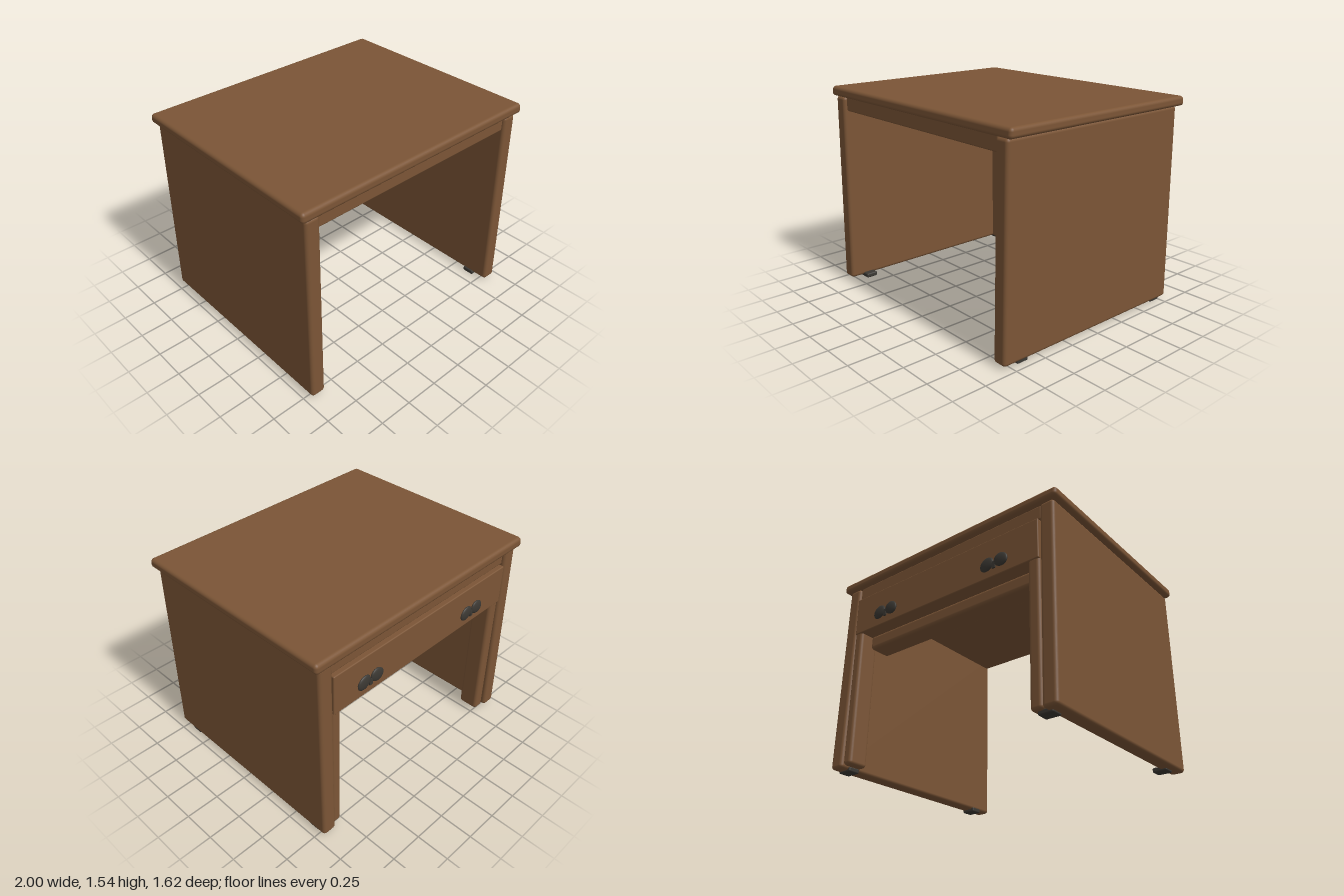
import * as THREE from 'three';
import { RoundedBoxGeometry } from 'three/addons/geometries/RoundedBoxGeometry.js';

const wood = new THREE.MeshStandardMaterial({ color: 0x7b5536 });
wood.name = 'brown wood';
const metal = new THREE.MeshStandardMaterial({ color: 0x3b3833 });
metal.name = 'dark metal';

// rounded block given by its min and max on each axis
function block(name, [x0, x1], [y0, y1], [z0, z1], radius, material = wood) {
  const geo = new RoundedBoxGeometry(x1 - x0, y1 - y0, z1 - z0, 3, radius);
  const mesh = new THREE.Mesh(geo, material);
  mesh.position.set((x0 + x1) / 2, (y0 + y1) / 2, (z0 + z1) / 2);
  mesh.name = name;
  return mesh;
}

// scale a block's depth linearly from bottom to top
function taperDepth(mesh, bottom, top) {
  const p = mesh.geometry.attributes.position;
  mesh.geometry.computeBoundingBox();
  const { min, max } = mesh.geometry.boundingBox;
  for (let i = 0; i < p.count; i++) {
    const t = (p.getY(i) - min.y) / (max.y - min.y);
    p.setZ(i, p.getZ(i) * (bottom + (top - bottom) * t));
  }
  return mesh;
}

// butterfly pull: two flattened drooping wings on a small stem
function drawerPull(x) {
  const pull = new THREE.Group();
  pull.name = 'drawerPull';
  for (const s of [-1, 1]) {
    const wing = new THREE.Mesh(new THREE.SphereGeometry(1, 20, 12), metal);
    wing.name = 'pullWing';
    wing.scale.set(0.058, 0.05, 0.016);
    wing.rotation.z = s * -0.5;
    wing.position.set(s * 0.058, 0, 0);
    pull.add(wing);
  }
  const stem = new THREE.Mesh(new THREE.BoxGeometry(0.024, 0.05, 0.014), metal);
  stem.name = 'pullStem';
  stem.position.y = -0.022;
  pull.add(stem);
  pull.position.set(x, 1.165, -0.796);
  return pull;
}

export function createModel() {
  const desk = new THREE.Group();
  desk.name = 'desk';

  // top board and the slab beneath it
  desk.add(taperDepth(block('topBoard', [-1, 1], [1.47, 1.54], [-0.815, 0.81], 0.025), 1, 0.99));
  desk.add(block('underSlab', [-0.855, 0.85], [1.365, 1.475], [-0.765, 0.77], 0.012));

  // side panels, slightly deeper at the floor
  desk.add(taperDepth(block('rightPanel', [-0.965, -0.855], [0.03, 1.47], [-0.805, 0.81], 0.025), 1, 0.975));
  desk.add(taperDepth(block('leftPanel', [0.845, 0.955], [0.02, 1.47], [-0.805, 0.81], 0.025), 1, 0.975));

  // inner legs behind the drawer
  desk.add(block('rightLeg', [-0.845, -0.755], [0.04, 1.1], [-0.785, -0.63], 0.025));
  desk.add(block('leftLeg', [0.778, 0.855], [0.04, 1.1], [-0.785, -0.63], 0.025));

  // drawer and the rail below it
  desk.add(block('drawer', [-0.845, 0.845], [1.06, 1.36], [-0.792, -0.62], 0.008));
  desk.add(block('lowerRail', [-0.76, 0.78], [0.957, 1.065], [-0.69, -0.52], 0.025));
  desk.add(drawerPull(0.53), drawerPull(-0.49));

  // feet
  for (const [x, y, z] of [[0.89, 0, 0.645], [0.89, 0.008, -0.69], [-0.86, 0.016, 0.66], [-0.845, 0.016, -0.71]]) {
    desk.add(block('foot', [x - 0.055, x + 0.055], [y, y + 0.035], [z - 0.045, z + 0.045], 0.01, metal));
  }
  return desk;
}
